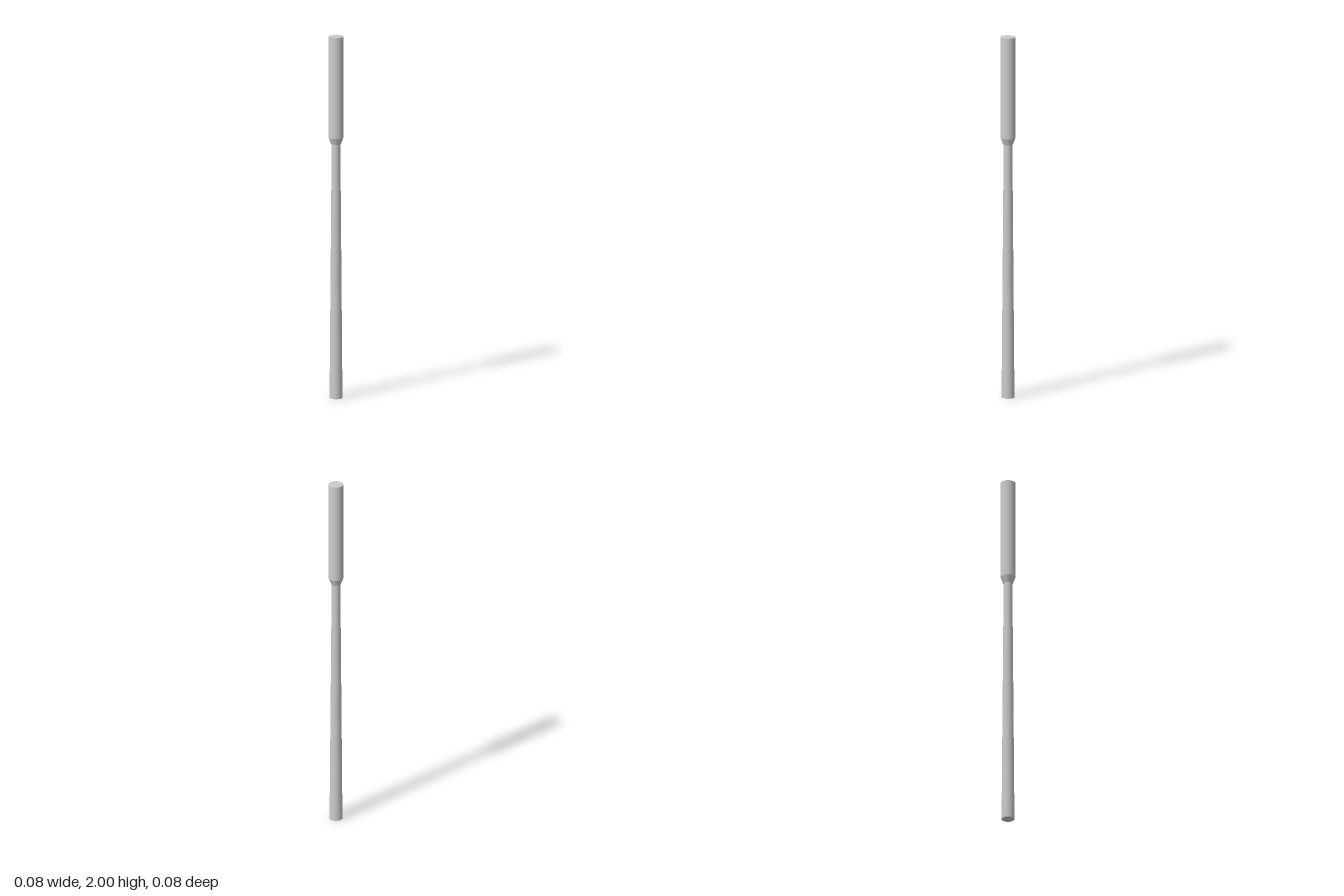
import * as THREE from 'three';

const SEGMENTS = 32;

// Upright round section between two heights
function section(name, y0, r0, y1, r1, openEnded, material) {
  const geometry = new THREE.CylinderGeometry(r1, r0, y1 - y0, SEGMENTS, 1, openEnded);
  const mesh = new THREE.Mesh(geometry, material);
  mesh.name = name;
  mesh.position.y = (y0 + y1) / 2;
  return mesh;
}

export function createModel() {
  const group = new THREE.Group();
  group.name = 'handledRod';
  const material = new THREE.MeshStandardMaterial({ color: 0xcccccc });

  // Long shaft, narrowing gently towards the grip
  group.add(section('shaft', 0, 0.035, 1.41, 0.0235, false, material));
  // Short flared collar, closed underneath
  group.add(section('collar', 1.405, 0.027, 1.44, 0.0405, false, material));
  // Thick cylindrical grip
  group.add(section('grip', 1.44, 0.0405, 2, 0.0405, false, material));

  return group;
}
